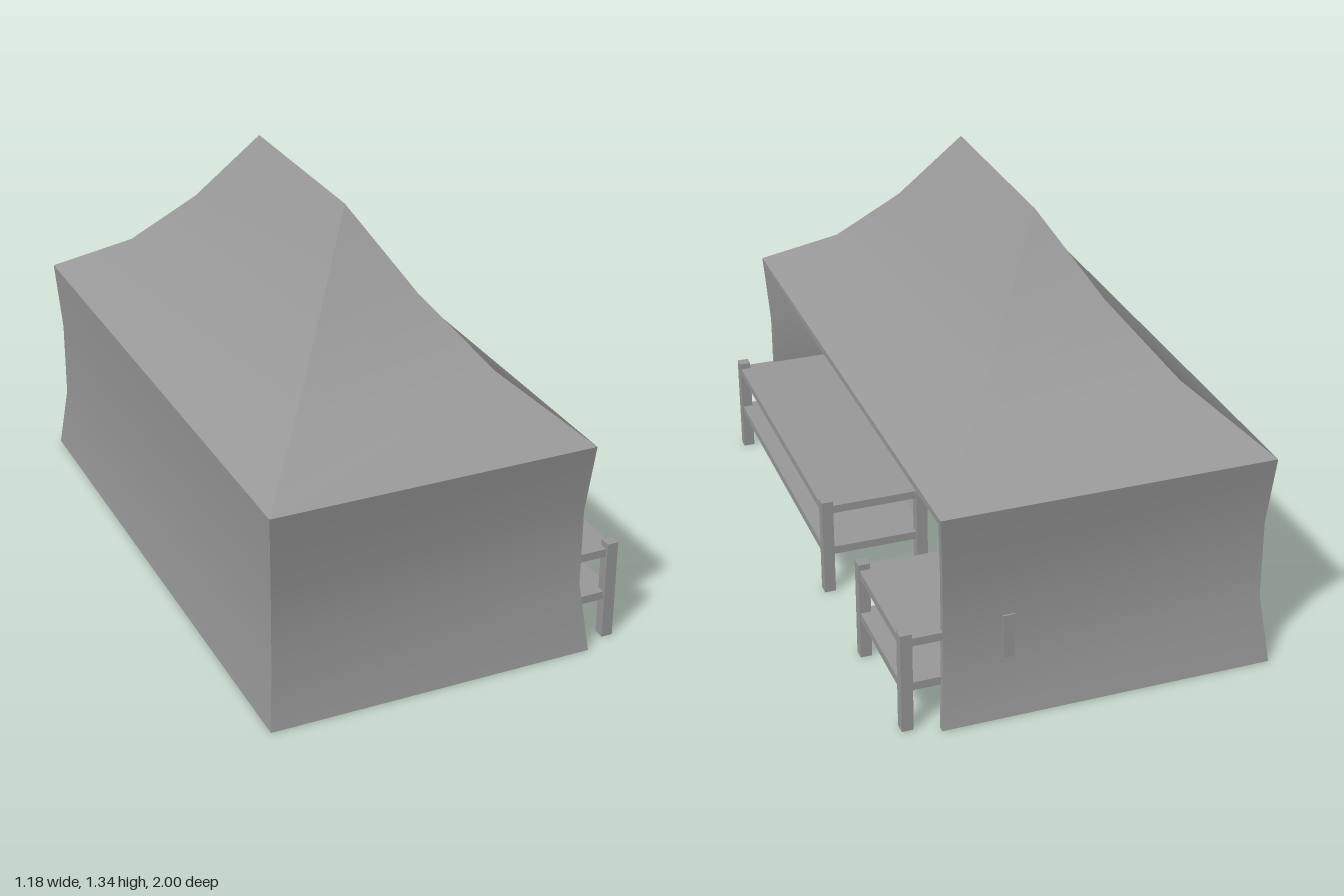
import * as THREE from 'three';
import { toCreasedNormals } from 'three/addons/utils/BufferGeometryUtils.js';

const material = new THREE.MeshStandardMaterial({ color: 0x999999 });
const clothMaterial = new THREE.MeshStandardMaterial({ color: 0x999999, side: THREE.DoubleSide });
const T = 0.022; // cloth thickness

// Skin closed rings of points, bottom to top
function loft(rings) {
  const pos = [];
  const tri = (a, b, c) => {
    const n = b.clone().sub(a).cross(c.clone().sub(a));
    if (n.length() > 1e-8) for (const p of [a, b, c]) pos.push(p.x, p.y, p.z);
  };
  for (let i = 0; i < rings.length - 1; i++) {
    const lo = rings[i], hi = rings[i + 1];
    for (let j = 0; j < lo.length; j++) {
      const k = (j + 1) % lo.length;
      tri(hi[j], hi[k], lo[k]);
      tri(hi[j], lo[k], lo[j]);
    }
  }
  const g = new THREE.BufferGeometry();
  g.setAttribute('position', new THREE.Float32BufferAttribute(pos, 3));
  return toCreasedNormals(g, 0.6);
}

function add(parent, name, geometry, mat = material) {
  const m = new THREE.Mesh(geometry, mat);
  m.name = name;
  parent.add(m);
  return m;
}

// Box given by its minimum and maximum corners
function box(parent, name, x0, x1, y0, y1, z0, z1) {
  add(parent, name, new THREE.BoxGeometry(x1 - x0, y1 - y0, z1 - z0))
    .position.set((x0 + x1) / 2, (y0 + y1) / 2, (z0 + z1) / 2);
}

// Two-shelf table with four posts
function table(name, z0, z1) {
  const g = new THREE.Group();
  g.name = name;
  const x0 = 0.235, x1 = 0.591, w = 0.037;
  for (const x of [x0, x1 - w])
    for (const z of [z0, z1 - w]) box(g, 'tablePost', x, x + w, 0, 0.335, z, z + w);
  for (const y of [0.135, 0.288])
    box(g, 'tableShelf', x0 + 0.004, x1 - 0.004, y, y + 0.027, z0 + 0.008, z1 - 0.008);
  return g;
}

export function createModel() {
  const tent = new THREE.Group();
  tent.name = 'marketTent';

  // Walls: U-shaped plan open towards +x, pinched at mid height [y, xLow, xHigh, zHalf]
  const wallLevels = [
    [0, -0.594, 0.477, 1],
    [0.22, -0.572, 0.458, 0.957],
    [0.48, -0.572, 0.458, 0.957],
    [0.71, -0.586, 0.472, 0.987],
  ];
  const wallRings = wallLevels.map(([y, l, r, z]) => [
    [r, z], [l, z], [l, -z], [r, -z],
    [r, -z + T], [l + T, -z + T], [l + T, z - T], [r, z - T],
  ].map(([x, zz]) => new THREE.Vector3(x, y, zz)));
  add(tent, 'walls', loft(wallRings), clothMaterial);

  // Hipped roof sagging between the ridge and the eaves
  const roofLevels = [
    [0.71, -0.586, 0.472, 0.987],
    [0.88, -0.383, 0.268, 0.715],
    [1.085, -0.218, 0.103, 0.515],
    [1.335, -0.058, -0.058, 0.335],
  ];
  const roofRings = roofLevels.map(([y, l, r, z]) =>
    [[r, z], [l, z], [l, -z], [r, -z]].map(([x, zz]) => new THREE.Vector3(x, y, zz)));
  add(tent, 'roof', loft(roofRings));

  // Flat ceiling, its open edge forming the header above the counter
  box(tent, 'ceiling', -0.575, 0.471, 0.687, 0.71, -0.975, 0.975);

  tent.add(table('longTable', -0.152, 0.953));
  tent.add(table('shortTable', -0.963, -0.514));
  return tent;
}
